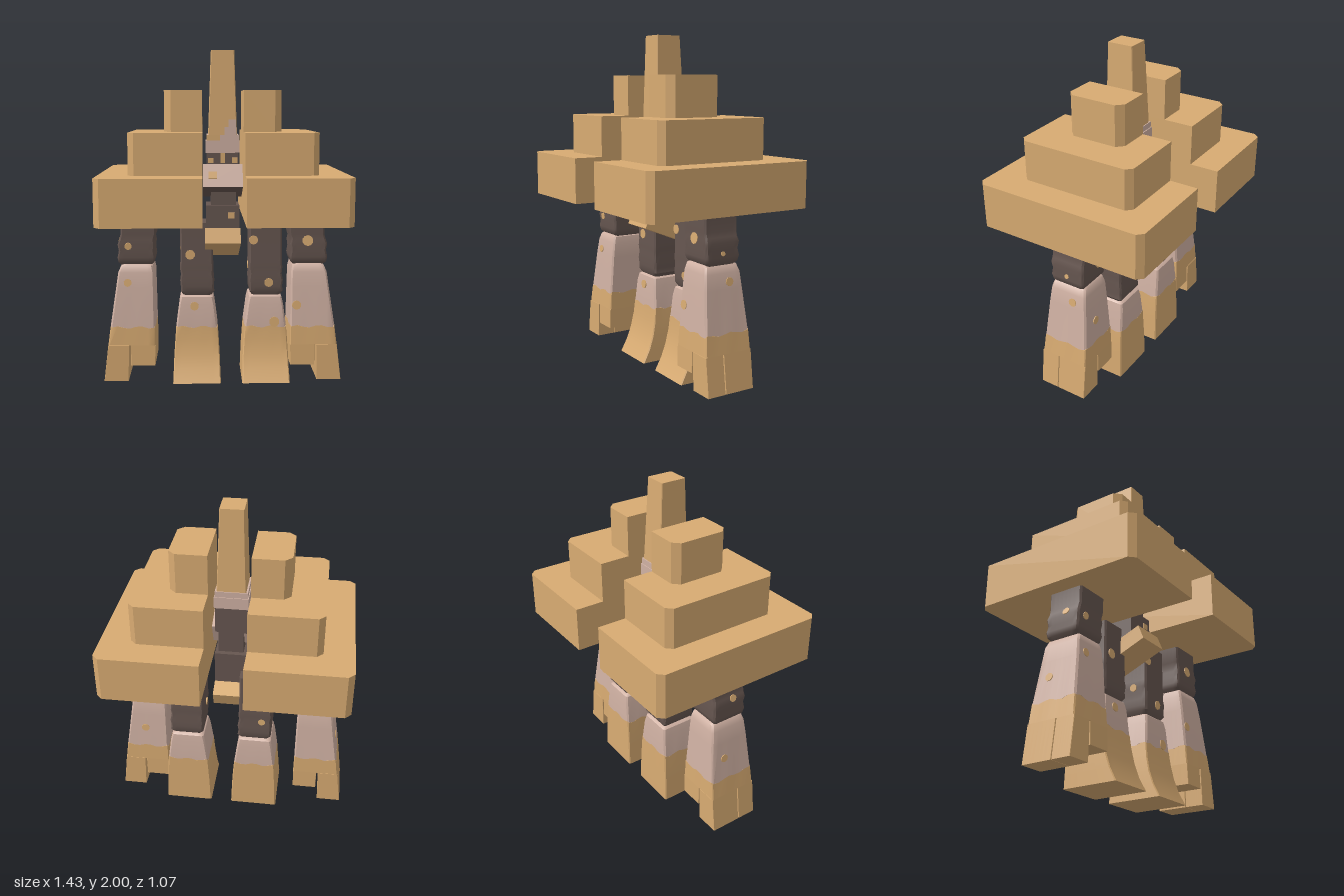
import * as THREE from 'three';
import { toCreasedNormals } from 'three/addons/utils/BufferGeometryUtils.js';

const mat = (name, color) => {
  const m = new THREE.MeshStandardMaterial({ color });
  m.name = name;
  return m;
};

export function createModel() {
  const root = new THREE.Group();
  const tan = mat('tan', 0xd8ab72);
  const pink = mat('dusty pink', 0xd0b1a3);
  const dark = mat('dark brown', 0x665650);

  const add = (parent, name, geo, material) => {
    const m = new THREE.Mesh(geo, material);
    m.name = name;
    parent.add(m);
    return m;
  };
  const box = (name, w, h, d, x, y, z, material, tilt = 0) => {
    const m = add(root, name, new THREE.BoxGeometry(w, h, d), material);
    m.position.set(x, y, z);
    m.rotation.x = tilt;
    return m;
  };

  // Skin over rectangular rings [y, x0, x1, z0, z1, wave], listed from top to bottom
  function loft(parent, name, rings, material, chamfer = 0.01) {
    const pos = [], idx = [], per = 8, n = per * 4;
    for (const [y, x0, x1, z0, z1, wave = 0] of rings) {
      const c = [[x0, z1], [x1, z1], [x1, z0], [x0, z0]];
      for (let s = 0; s < 4; s++) {
        const a = c[s], b = c[(s + 1) % 4];
        const f = chamfer / Math.hypot(b[0] - a[0], b[1] - a[1]);
        for (let i = 0; i < per; i++) {
          const t = f + (1 - 2 * f) * i / (per - 1);
          pos.push(a[0] + (b[0] - a[0]) * t, y + wave * Math.sin((s * per + i) * 1.7), a[1] + (b[1] - a[1]) * t);
        }
      }
    }
    for (let r = 0; r < rings.length - 1; r++) {
      for (let i = 0; i < n; i++) {
        const a = r * n + i, a2 = r * n + (i + 1) % n;
        idx.push(a + n, a2 + n, a2, a + n, a2, a);
      }
    }
    const last = rings.length - 1;
    for (const [r, flip] of [[0, false], [last, true]]) {
      const [y, x0, x1, z0, z1] = rings[r], k = pos.length / 3;
      pos.push((x0 + x1) / 2, y, (z0 + z1) / 2);
      for (let i = 0; i < n; i++) {
        const a = r * n + i, b = r * n + (i + 1) % n;
        idx.push(k, flip ? b : a, flip ? a : b);
      }
    }
    const g = new THREE.BufferGeometry();
    g.setAttribute('position', new THREE.Float32BufferAttribute(pos, 3));
    g.setIndex(idx);
    return add(parent, name, toCreasedNormals(g, 0.7), material);
  }

  // Thin round patch lying on one side of a loft; side 1..4 = x0, x1, z0, z1
  function spot(parent, rings, side, u, y, r) {
    const bound = (h) => {
      let i = 0;
      while (i < rings.length - 2 && rings[i + 1][0] > h) i++;
      const a = rings[i], b = rings[i + 1];
      return a[side] + (b[side] - a[side]) * (h - a[0]) / (b[0] - a[0]);
    };
    const sign = side % 2 ? -1 : 1, v = bound(y);
    const slope = -sign * (bound(y + 0.02) - bound(y - 0.02)) / 0.04;
    const m = add(parent, 'spot', new THREE.CylinderGeometry(r, r, 0.009, 10), tan);
    const normal = side < 3 ? new THREE.Vector3(sign, slope, 0) : new THREE.Vector3(0, slope, sign);
    m.quaternion.setFromUnitVectors(new THREE.Vector3(0, 1, 0), normal.normalize());
    if (side < 3) m.position.set(v, y, u); else m.position.set(u, y, v);
  }

  // Stepped shoulders, chamfered on the outer corners
  const tiers = [
    [0.715, 0.533, 1.02, 1.29, 0.035],
    [0.54, 0.358, 1.29, 1.53, 0.035],
    [0.342, 0.176, 1.53, 1.77, 0.04],
  ];
  for (const s of [1, -1]) {
    const shoulder = new THREE.Group();
    shoulder.name = s > 0 ? 'leftShoulder' : 'rightShoulder';
    root.add(shoulder);
    for (const [x, z, y0, y1, c] of tiers) {
      const pts = [[0.12, -z], [x - c, -z], [x, c - z], [x, z - c], [x - c, z], [0.12, z]];
      const shape = new THREE.Shape(pts.map((p) => new THREE.Vector2(s * p[0], p[1])));
      const g = new THREE.ExtrudeGeometry(shape, { depth: y1 - y0, bevelEnabled: false });
      g.rotateX(-Math.PI / 2).translate(0, y0, 0);
      add(shoulder, 'shoulderTier', g, tan);
    }
  }

  // Arms: upper arm, forearm, gauntlet and blunt fingers
  const upperArm = [
    [1.05, 0.395, 0.61, -0.1, 0.12], [0.92, 0.4, 0.61, -0.1, 0.12], [0.89, 0.41, 0.618, -0.098, 0.118],
    [0.86, 0.405, 0.628, -0.105, 0.122], [0.82, 0.41, 0.622, -0.1, 0.116], [0.78, 0.404, 0.63, -0.105, 0.12],
    [0.75, 0.41, 0.625, -0.098, 0.112], [0.725, 0.435, 0.6, -0.075, 0.09],
  ];
  const foreArm = [
    [0.745, 0.44, 0.59, -0.08, 0.095], [0.73, 0.42, 0.61, -0.1, 0.115], [0.69, 0.412, 0.627, -0.112, 0.125],
    [0.6, 0.41, 0.64, -0.12, 0.135], [0.36, 0.407, 0.675, -0.138, 0.153, 0.008],
  ];
  const gauntlet = [foreArm[4], [0.25, 0.405, 0.69, -0.142, 0.16]];
  const outerFinger = (z0, z1) => [[0.25, 0.563, 0.69, z0, z1], [0.03, 0.57, 0.717, z0, z1]];
  const thumb = [[0.25, 0.405, 0.555, -0.142, 0.16], [0.125, 0.408, 0.555, -0.143, 0.163]];
  const armSpots = {
    1: [[4, 0.51, 0.88, 0.033], [4, 0.445, 0.49, 0.028], [2, 0.01, 0.8, 0.014], [2, -0.03, 0.64, 0.025],
      [3, 0.47, 0.84, 0.025], [3, 0.55, 0.5, 0.025]],
    '-1': [[4, -0.565, 0.85, 0.022], [4, -0.57, 0.63, 0.024], [1, 0.03, 0.88, 0.022], [3, -0.47, 0.83, 0.025],
      [1, -0.04, 0.5, 0.024]],
  };
  for (const s of [1, -1]) {
    const arm = new THREE.Group();
    arm.name = s > 0 ? 'leftArm' : 'rightArm';
    root.add(arm);
    const side = (rings) => (s > 0 ? rings : rings.map(([y, a, b, ...r]) => [y, -b, -a, ...r]));
    loft(arm, 'upperArm', side(upperArm), dark);
    loft(arm, 'foreArm', side(foreArm), pink);
    loft(arm, 'gauntlet', side(gauntlet), tan, 0.006);
    loft(arm, 'outerFinger', side(outerFinger(0.047, 0.163)), tan, 0.002);
    loft(arm, 'outerFinger', side(outerFinger(-0.144, 0.043)), tan, 0.002);
    loft(arm, 'thumb', side(thumb), tan, 0.002);
    for (const [f, u, y, r] of armSpots[s]) spot(arm, side(y > 0.74 ? upperArm : foreArm), f, u, y, r);
  }

  // Legs: thigh, shin and flared foot, each around its own x axis
  const thigh = [
    [0.975, -0.1, 0.1, -0.175, 0.03], [0.74, -0.1, 0.1, -0.18, 0.03], [0.7, -0.104, 0.104, -0.185, 0.032],
    [0.66, -0.097, 0.1, -0.18, 0.03], [0.62, -0.102, 0.108, -0.19, 0.034], [0.58, -0.098, 0.103, -0.185, 0.03],
    [0.55, -0.098, 0.108, -0.188, 0.03], [0.515, -0.075, 0.08, -0.165, 0.01],
  ];
  const shin = [
    [0.53, -0.08, 0.08, -0.17, 0.01], [0.515, -0.1, 0.1, -0.19, 0.03], [0.47, -0.11, 0.11, -0.197, 0.038],
    [0.33, -0.128, 0.128, -0.203, 0.045, 0.008],
  ];
  const foot = [
    shin[3], [0.25, -0.134, 0.135, -0.205, 0.052], [0.16, -0.14, 0.14, -0.207, 0.07],
    [0.08, -0.143, 0.143, -0.209, 0.098], [0, -0.146, 0.146, -0.21, 0.14],
  ];
  const legSpots = [
    ['leftLeg', 0.265, [[4, -0.075, 0.87, 0.028], [4, 0.02, 0.605, 0.028], [4, 0.055, 0.36, 0.032],
      [2, -0.15, 0.9, 0.024], [3, 0.02, 0.8, 0.025], [1, -0.06, 0.7, 0.024]]],
    ['rightLeg', -0.157, [[4, -0.04, 0.78, 0.03], [4, -0.015, 0.46, 0.027], [3, 0.03, 0.85, 0.025],
      [3, -0.04, 0.66, 0.022], [1, -0.07, 0.82, 0.024]]],
  ];
  for (const [name, x, spots] of legSpots) {
    const leg = new THREE.Group();
    leg.name = name;
    leg.position.x = x;
    root.add(leg);
    loft(leg, 'thigh', thigh, dark);
    loft(leg, 'shin', shin, pink);
    loft(leg, 'foot', foot, tan, 0.006);
    for (const [f, u, y, r] of spots) spot(leg, y > 0.53 ? thigh : shin, f, u, y, r);
  }

  // Torso stack: tilted pelvis, waist, neck and tilted chest with a dark underside
  box('pelvis', 0.21, 0.095, 0.35, 0, 0.855, 0.01, tan, -0.38);
  box('waist', 0.2, 0.2, 0.2, 0, 0.99, 0, dark);
  box('waistSpot', 0.04, 0.035, 0.008, 0.052, 1.03, 0.1, tan);
  box('neck', 0.15, 0.16, 0.14, 0.005, 1.16, 0, dark);
  box('chest', 0.235, 0.141, 0.2, 0, 1.235, 0.045, [pink, pink, pink, dark, pink, pink], -0.4);
  box('chestSpot', 0.05, 0.045, 0.008, -0.06, 1.275, 0.136, tan, -0.4);

  // Head with eyes, helmet band and tall tapering crest
  box('head', 0.19, 0.17, 0.19, 0, 1.325, 0, dark);
  for (const x of [-0.07, 0.072]) box('eye', 0.034, 0.03, 0.008, x, 1.36, 0.096, tan);
  box('nose', 0.028, 0.06, 0.008, 0, 1.375, 0.096, tan);
  box('helmet', 0.2, 0.07, 0.21, 0, 1.44, 0, pink);
  box('brow', 0.19, 0.04, 0.2, 0, 1.49, 0, pink);
  box('brim', 0.08, 0.03, 0.008, -0.055, 1.493, 0.101, tan);
  const crest = [[2, -0.068, 0.068, -0.07, 0.085], [1.5, -0.085, 0.085, -0.095, 0.095]];
  loft(root, 'crest', crest, tan, 0.004);
  box('crestPatch', 0.07, 0.05, 0.008, 0.047, 1.53, 0.095, pink);
  box('crestPatch', 0.045, 0.05, 0.008, 0.056, 1.575, 0.094, pink);

  return root;
}
